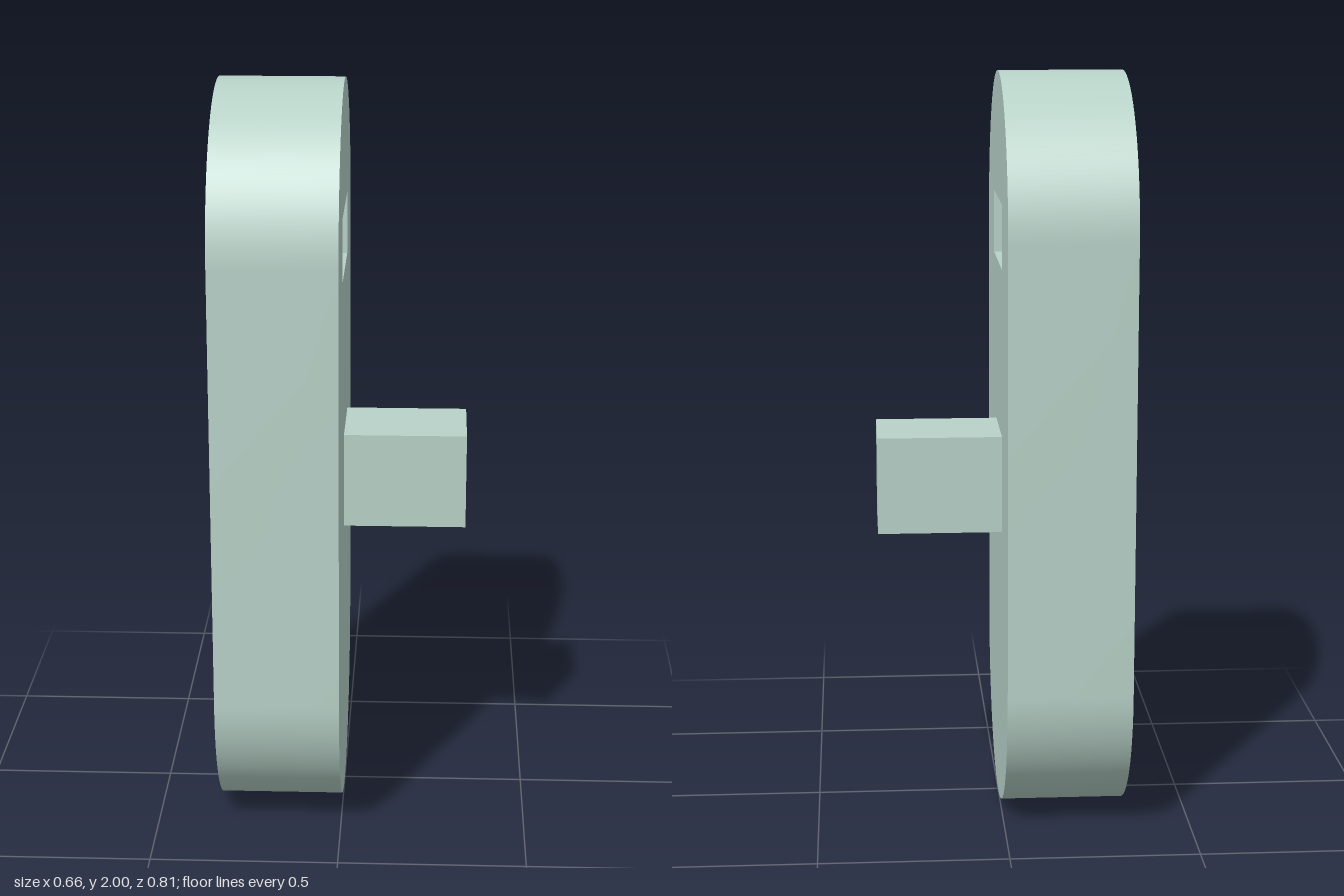
import * as THREE from 'three';
import { toCreasedNormals } from 'three/addons/utils/BufferGeometryUtils.js';

const THICK = 0.33, RADIUS = 0.407, HEIGHT = 2;

// Rounded plate outline with a rectangular slot; shape x runs along -z
function plateGeometry() {
  const shape = new THREE.Shape();
  shape.absarc(0, HEIGHT - RADIUS, RADIUS, 0, Math.PI, false);
  shape.absarc(0, RADIUS, RADIUS, Math.PI, 2 * Math.PI, false);
  shape.closePath();

  const slot = new THREE.Path();
  slot.moveTo(-0.172, 1.497);
  slot.lineTo(-0.172, 1.667);
  slot.lineTo(0.161, 1.667);
  slot.lineTo(0.161, 1.497);
  slot.closePath();
  shape.holes.push(slot);

  const geometry = new THREE.ExtrudeGeometry(shape, { depth: THICK, bevelEnabled: false, curveSegments: 48 });
  geometry.rotateY(Math.PI / 2).translate(-THICK, 0, 0);
  return toCreasedNormals(geometry, Math.PI / 6);
}

export function createModel() {
  const model = new THREE.Group();
  const material = new THREE.MeshStandardMaterial({ color: 0xb8d2c8 });

  const plate = new THREE.Mesh(plateGeometry(), material);
  plate.name = 'plate';

  // Square peg standing out from the plate's left face
  const peg = new THREE.Mesh(new THREE.BoxGeometry(THICK, 0.26, 0.24), material);
  peg.name = 'peg';
  peg.position.set(THICK / 2, 0.923, -0.052);

  model.add(plate, peg);
  return model;
}
